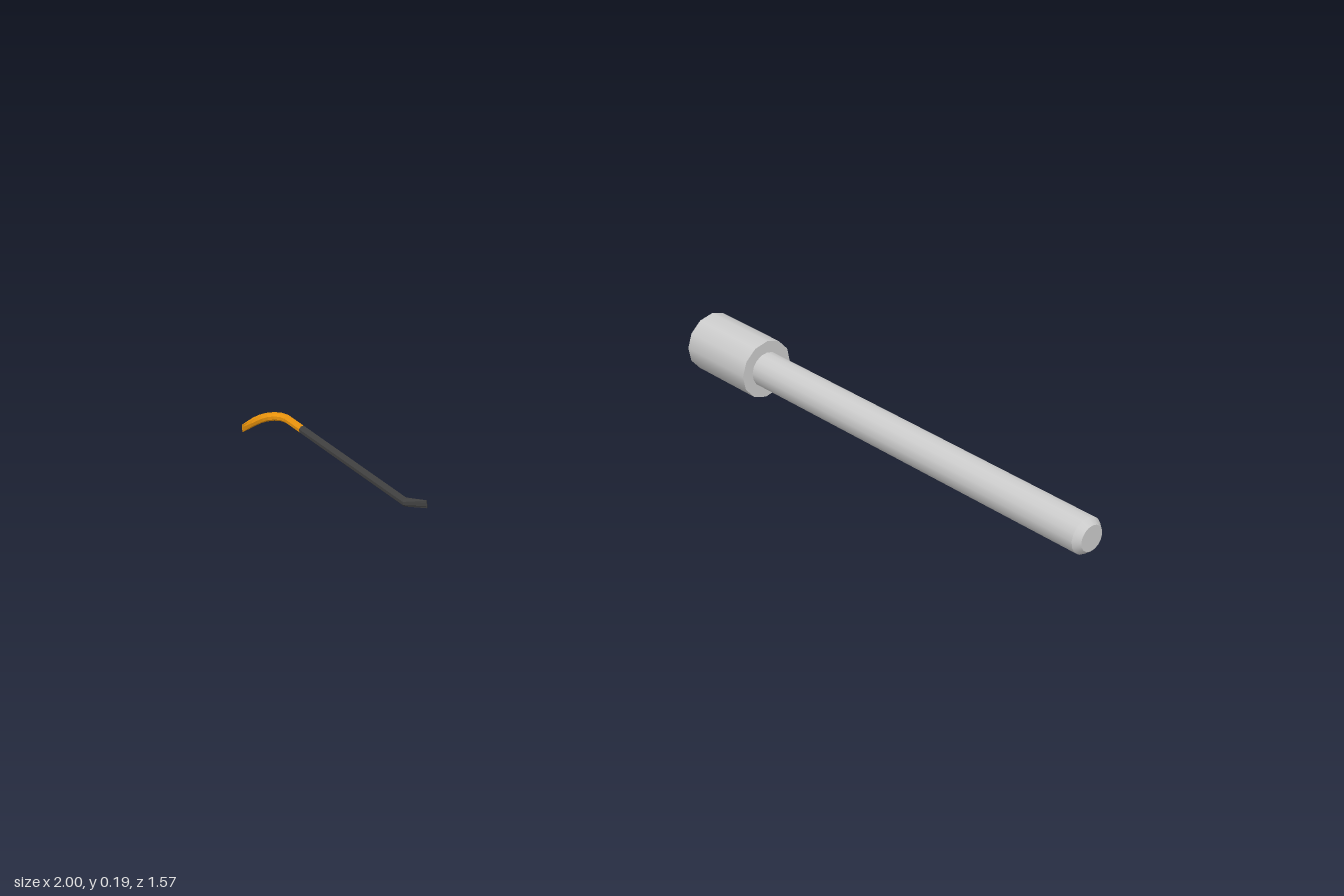
import * as THREE from 'three';

const AXIS_Y = 0.095;

function material(color, flatShading) {
  return new THREE.MeshStandardMaterial({ color, flatShading, side: THREE.DoubleSide });
}

// Surface of revolution around x, given two [x, radius] ends
function band(name, a, b, sides, mat) {
  const pts = [a, b].map(([x, r]) => new THREE.Vector2(r, x));
  const mesh = new THREE.Mesh(new THREE.LatheGeometry(pts, sides), mat);
  mesh.rotation.z = -Math.PI / 2;
  mesh.name = name;
  return mesh;
}

// Octagonal sweep in the xz plane; stations are { x, z, w, nx, nz }
function sweep(stations, h) {
  const N = 8, pos = [], idx = [];
  const k = 1 / Math.cos(Math.PI / N);
  for (const s of stations) {
    for (let j = 0; j < N; j++) {
      const a = ((j + 0.5) / N) * Math.PI * 2;
      const u = Math.cos(a) * k * s.w;
      pos.push(s.x + s.nx * u, Math.sin(a) * k * h, s.z + s.nz * u);
    }
  }
  const last = (stations.length - 1) * N;
  for (let i = 0; i < last; i += N) {
    for (let j = 0; j < N; j++) {
      const a = i + j, b = i + ((j + 1) % N);
      idx.push(a, b, a + N, b, b + N, a + N);
    }
  }
  for (let j = 1; j < N - 1; j++) {
    idx.push(0, j + 1, j, last, last + j, last + j + 1);
  }
  const geo = new THREE.BufferGeometry();
  geo.setAttribute('position', new THREE.Float32BufferAttribute(pos, 3));
  geo.setIndex(idx);
  geo.computeVertexNormals();
  return geo;
}

function createBolt() {
  const bolt = new THREE.Group();
  bolt.name = 'bolt';
  const grey = material(0xcccccc, false);
  // Hollow head, open at the far end
  bolt.add(band('headWall', [-0.62, 0.094], [-0.35, 0.094], 12, grey));
  bolt.add(band('headShoulder', [-0.35, 0.094], [-0.35, 0], 12, grey));
  // Long shank with a chamfered tip
  bolt.add(band('shank', [-0.35, 0.056], [0.98, 0.056], 16, grey));
  bolt.add(band('tipChamfer', [0.98, 0.056], [1, 0.04], 16, grey));
  bolt.add(band('tipFace', [1, 0.04], [1, 0], 16, grey));
  bolt.position.set(0, AXIS_Y, -0.694);
  return bolt;
}

function createPryBar() {
  const bar = new THREE.Group();
  bar.name = 'pryBar';

  // Centre line and half width: hook tip, bend, straight bar, angled chisel
  const path = [
    [-0.964, 0.785, 0.001], [-0.974, 0.758, 0.007], [-0.983, 0.735, 0.01],
    [-0.988, 0.712, 0.011], [-0.987, 0.692, 0.011], [-0.978, 0.672, 0.011],
    [-0.962, 0.657, 0.011], [-0.940, 0.650, 0.011], [-0.850, 0.650, 0.011],
    [-0.288, 0.650, 0.011], [-0.240, 0.610, 0.002],
  ];
  const stations = path.map(([x, z, w], i) => {
    const p = path[Math.max(i - 1, 0)], q = path[Math.min(i + 1, path.length - 1)];
    const d1 = new THREE.Vector2(x - p[0], z - p[1]).normalize();
    const d2 = new THREE.Vector2(q[0] - x, q[1] - z).normalize();
    const t = d1.add(d2).normalize();
    return { x, z, w, nx: t.y, nz: -t.x };
  });

  const hook = new THREE.Mesh(sweep(stations.slice(0, 9), 0.012), material(0xe8920c, true));
  hook.name = 'paintedHook';
  const shaft = new THREE.Mesh(sweep(stations.slice(8), 0.012), material(0x404040, true));
  shaft.name = 'shaftAndChisel';
  bar.add(hook, shaft);
  bar.position.y = AXIS_Y + 0.002;
  return bar;
}

export function createModel() {
  const model = new THREE.Group();
  model.name = 'boltAndPryBar';
  model.add(createBolt(), createPryBar());
  return model;
}
